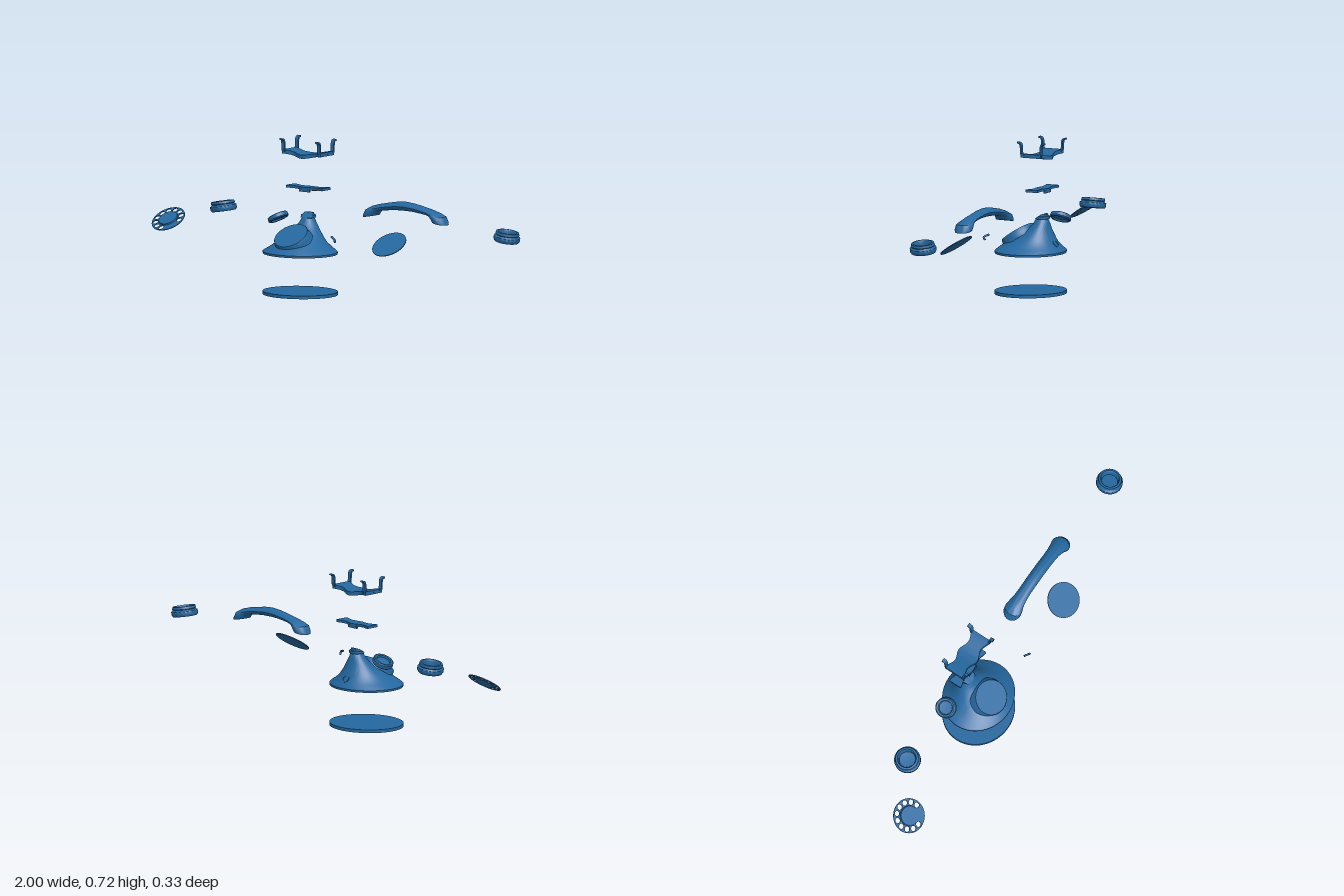
import * as THREE from 'three';
import { toCreasedNormals } from 'three/addons/utils/BufferGeometryUtils.js';

const material = new THREE.MeshStandardMaterial({ color: 0x2468a0, side: THREE.DoubleSide });
const DIAL_TILT = -0.983;

// Skin closed rings of points, optionally closing the last ring.
function loft(rings, capEnd = false) {
  const n = rings[0].length, pos = [], idx = [];
  rings.forEach(r => r.forEach(p => pos.push(...p)));
  for (let i = 0; i < rings.length - 1; i++) {
    for (let j = 0; j < n; j++) {
      const a = i * n + j, b = i * n + (j + 1) % n;
      idx.push(a, a + n, b, b, a + n, b + n);
    }
  }
  if (capEnd) {
    const last = (rings.length - 1) * n;
    for (let j = 1; j < n - 1; j++) idx.push(last, last + j + 1, last + j);
  }
  const g = new THREE.BufferGeometry();
  g.setAttribute('position', new THREE.Float32BufferAttribute(pos, 3));
  g.setIndex(idx);
  g.computeVertexNormals();
  return toCreasedNormals(g, 0.6);
}

function add(parent, name, geometry, x = 0, y = 0, z = 0) {
  const m = new THREE.Mesh(geometry, material);
  m.name = name;
  m.position.set(x, y, z);
  parent.add(m);
  return m;
}

const lathe = pts => toCreasedNormals(
  new THREE.LatheGeometry(pts.map(p => new THREE.Vector2(...p)), 48), 0.6);

// Strip profile in the z-y plane, extruded across x.
function strip(points, thickness, width) {
  const curve = new THREE.CatmullRomCurve3(points.map(p => new THREE.Vector3(p[0], p[1], 0)));
  const up = [], down = [];
  for (let i = 0; i <= 14; i++) {
    const p = curve.getPoint(i / 14), t = curve.getTangent(i / 14);
    const ox = -t.y * thickness / 2, oy = t.x * thickness / 2;
    up.push(new THREE.Vector2(p.x + ox, p.y + oy));
    down.unshift(new THREE.Vector2(p.x - ox, p.y - oy));
  }
  const g = new THREE.ExtrudeGeometry(new THREE.Shape([...up, ...down]), { depth: width, bevelEnabled: false });
  g.translate(0, 0, -width / 2);
  g.rotateY(-Math.PI / 2);
  return toCreasedNormals(g, 0.6);
}

// Plate with scalloped long edges, sagging toward its middle.
function wavyPlate(halfLength, halfDepth, thickness, sag) {
  const rings = [], N = 40;
  const section = (x, k) => {
    const u = x / halfLength;
    const d = halfDepth * (0.84 + 0.16 * Math.cos(u * Math.PI * 2)) * k;
    const y = -sag * (1 + Math.cos(u * Math.PI)) / 2, t = thickness * k / 2;
    return [[x, y - t, -d], [x, y - t, d], [x, y + t, d], [x, y + t, -d]];
  };
  rings.push(section(-halfLength, 0.01));
  for (let i = 0; i <= N; i++) rings.push(section(-halfLength + 2 * halfLength * i / N, 1));
  rings.push(section(halfLength, 0.01));
  return loft(rings);
}

export function createModel() {
  const model = new THREE.Group();
  model.name = 'explodedTelephone';

  // Oval base plate
  const base = add(model, 'basePlate', new THREE.CylinderGeometry(1, 1, 0.015, 64), -0.22, 0.0075, 0);
  base.scale.set(0.18, 1, 0.163);

  // Hollow housing: y, half width, centre z, half depth; cut by the sloping dial plane
  const housing = new THREE.Group();
  housing.name = 'housing';
  housing.position.x = -0.22;
  model.add(housing);
  const rows = [
    [0.19, 0.179, 0, 0.162], [0.2, 0.18, 0, 0.163], [0.206, 0.172, -0.001, 0.157],
    [0.22, 0.147, -0.004, 0.143], [0.24, 0.12, -0.01, 0.12], [0.255, 0.103, -0.02, 0.103],
    [0.27, 0.088, -0.03, 0.087], [0.285, 0.075, -0.04, 0.07], [0.3, 0.063, -0.048, 0.056],
    [0.315, 0.052, -0.054, 0.046], [0.33, 0.041, -0.058, 0.038], [0.345, 0.032, -0.06, 0.032],
    [0.35, 0.028, -0.06, 0.028], [0.352, 0.036, -0.06, 0.036], [0.364, 0.036, -0.06, 0.036],
    [0.366, 0.029, -0.06, 0.029], [0.374, 0.027, -0.06, 0.027]];
  add(housing, 'housingShell', loft(rows.map(([y, rx, zc, rz]) => {
    const limit = 0.14 - (y - 0.235) * 1.5;
    return Array.from({ length: 64 }, (_, j) => {
      const a = j / 64 * Math.PI * 2;
      return [rx * Math.cos(a), y, Math.min(zc + rz * Math.sin(a), y > 0.215 ? limit : 1)];
    });
  }), true));

  // Round boss carrying the dial
  const boss = add(housing, 'dialBoss',
    lathe([[0, 0], [0.081, 0], [0.083, -0.003], [0.085, -0.02], [0.092, -0.04]]), 0, 0.281, 0.071);
  boss.rotation.x = DIAL_TILT + Math.PI / 2;

  // Cord socket at the back
  const socket = add(housing, 'cordSocket',
    lathe([[0, -0.006], [0.013, -0.006], [0.014, 0.003], [0.018, 0.003], [0.02, -0.006]]), 0, 0.238, -0.131);
  socket.rotation.x = -0.95;

  // Cradle with four flared prongs
  const cradle = new THREE.Group();
  cradle.name = 'cradle';
  cradle.position.set(-0.22, 0, -0.059);
  model.add(cradle);
  add(cradle, 'cradlePlate', wavyPlate(0.112, 0.052, 0.018, 0.016), 0, 0.655, 0);
  for (const sx of [-1, 1]) {
    for (const sz of [-1, 1]) {
      const prong = add(cradle, 'cradleProng', strip(
        [[0.035, 0.654], [0.047, 0.658], [0.051, 0.67], [0.052, 0.697], [0.057, 0.711], [0.07, 0.715]],
        0.008, 0.018), sx * 0.104, 0, 0);
      if (sz < 0) prong.rotation.y = Math.PI;
    }
  }

  // Retaining plate under the cradle
  const retainer = new THREE.Group();
  retainer.name = 'retainer';
  retainer.position.set(-0.22, 0.491, -0.06);
  model.add(retainer);
  add(retainer, 'retainerPlate', wavyPlate(0.105, 0.031, 0.012, 0.003));
  for (const s of [-1, 1]) {
    add(retainer, 'retainerLip', new THREE.BoxGeometry(0.06, 0.014, 0.008), 0, -0.011, s * 0.026);
  }

  // Handset: top x, y, underside x, y, half width for one half, then mirrored
  const half = [
    [-0.24, 0.383, -0.163, 0.397, 0.04], [-0.238, 0.393, -0.16, 0.404, 0.043],
    [-0.225, 0.42, -0.152, 0.412, 0.042], [-0.195, 0.437, -0.145, 0.418, 0.037],
    [-0.15, 0.45, -0.125, 0.422, 0.031], [-0.1, 0.46, -0.09, 0.426, 0.029],
    [-0.05, 0.469, -0.045, 0.43, 0.029], [0, 0.473, 0, 0.431, 0.029]];
  const sections = [...half,
    ...half.slice(0, -1).reverse().map(([a, b, c, d, w]) => [-a, b, -c, d, w])];
  add(model, 'handset', loft(sections.map(([ax, ay, bx, by, w]) =>
    Array.from({ length: 32 }, (_, j) => {
      const t = j / 32 * Math.PI * 2, c = Math.cos(t);
      const ridge = 1 - (w < 0.038 ? 0.3 : 0) * Math.max(0, c);
      return [(ax + bx) / 2 + (ax - bx) / 2 * c, (ay + by) / 2 + (ay - by) / 2 * c,
        w * Math.sin(t) * ridge];
    }))), 0.348, 0, -0.062);

  // Screw-on caps for both ends of the handset
  const capProfile = [
    [0, -0.016], [0.036, -0.016], [0.044, -0.024], [0.056, -0.023], [0.0615, -0.014], [0.0615, 0.001],
    [0.055, 0.005], [0.053, 0.008], [0.056, 0.012], [0.053, 0.023], [0.044, 0.024], [0.04, 0.019],
    [0.038, -0.006], [0, -0.009]];
  for (const [name, x, tilt] of [['mouthpieceCap', -0.715, 0.17], ['earpieceCap', 0.94, -0.17]]) {
    add(model, name, lathe(capProfile), x, 0.362, -0.06).rotation.z = tilt;
  }

  // Shallow tilted cup
  const cup = add(model, 'mouthpieceCup', lathe([
    [0, -0.004], [0.034, -0.004], [0.038, -0.012], [0.046, -0.012], [0.05, -0.007], [0.048, 0.009],
    [0.043, 0.012], [0.034, 0.011], [0.031, 0.002], [0, 0]]), -0.397, 0.338, -0.062);
  cup.rotation.z = 0.49;

  // Finger wheel with ten holes and a raised centre
  const dial = new THREE.Group();
  dial.name = 'dial';
  dial.position.set(-0.92, 0.3, 0.089);
  dial.rotation.x = DIAL_TILT;
  model.add(dial);
  const wheel = new THREE.Shape().absarc(0, 0, 0.081, 0, Math.PI * 2);
  for (let i = 0; i < 10; i++) {
    const a = i * Math.PI / 6;
    wheel.holes.push(new THREE.Path().absarc(0.063 * Math.cos(a), 0.063 * Math.sin(a), 0.0125, 0, Math.PI * 2, true));
  }
  add(dial, 'fingerWheel', new THREE.ExtrudeGeometry(wheel,
    { depth: 0.004, bevelEnabled: false, curveSegments: 32 }), 0, 0, -0.002);
  const centre = add(dial, 'dialCentre', new THREE.CylinderGeometry(0.045, 0.047, 0.006, 40), 0, 0, 0.005);
  centre.rotation.x = Math.PI / 2;

  // Number plate disc
  const disc = add(model, 'dialPlate', new THREE.CylinderGeometry(0.083, 0.083, 0.004, 64), 0.36, 0.29, 0.0785);
  disc.rotation.x = DIAL_TILT + Math.PI / 2;

  // Finger stop hook
  const hook = new THREE.CatmullRomCurve3([[0.028, 0.298, 0.085], [0.045, 0.293, 0.094], [0.055, 0.288, 0.098],
    [0.054, 0.275, 0.092]].map(p => new THREE.Vector3(...p)));
  add(model, 'fingerStop', new THREE.TubeGeometry(hook, 16, 0.005, 8));

  return model;
}
